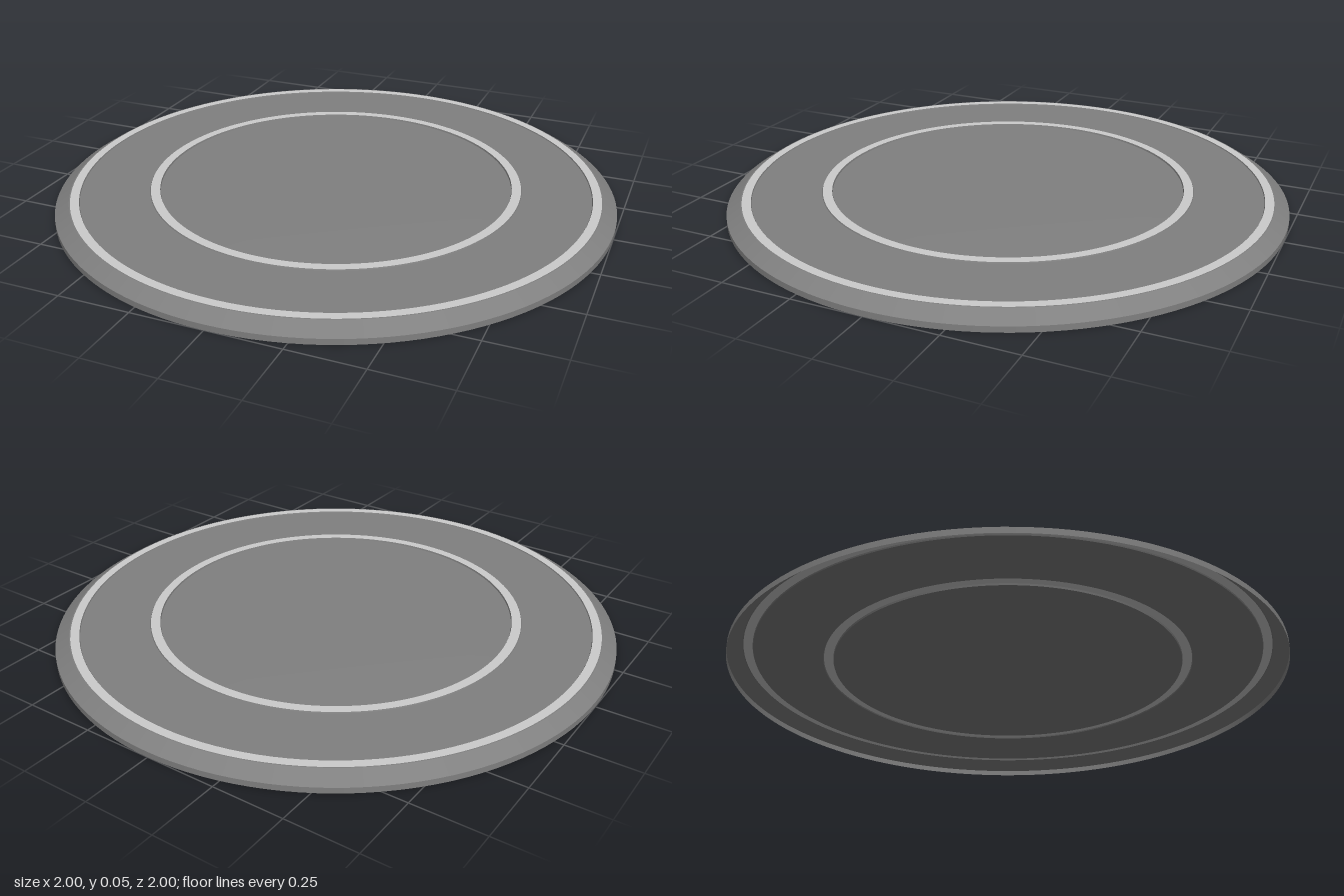
import * as THREE from 'three';

const SEGMENTS = 128;

// A thin turned sheet; each span between points is its own lathe so creases stay sharp.
function turned(name, points, material) {
  const part = new THREE.Group();
  part.name = name;
  for (let i = 0; i < points.length - 1; i++) {
    const span = [points[i], points[i + 1]].map(([r, y]) => new THREE.Vector2(r, y));
    part.add(new THREE.Mesh(new THREE.LatheGeometry(span, SEGMENTS), material));
  }
  return part;
}

export function createModel() {
  const model = new THREE.Group();
  model.name = 'roundCover';
  const dark = new THREE.MeshStandardMaterial({ color: 0x808080, side: THREE.DoubleSide });
  const light = new THREE.MeshStandardMaterial({ color: 0xcccccc, side: THREE.DoubleSide });

  // Upright lip and bevelled shoulder; the underside stays hollow
  model.add(turned('rim', [[1, 0], [1, 0.02], [0.95, 0.052], [0.946, 0.052]], dark));

  // Flat trim bands standing slightly proud of the panels
  model.add(turned('outerRing', [[0.946, 0.052], [0.915, 0.052]], light));
  model.add(turned('innerRing', [[0.667, 0.052], [0.634, 0.052]], light));

  // Flat annular panel with small steps up to the bands
  model.add(turned('annularPanel',
    [[0.915, 0.052], [0.913, 0.048], [0.669, 0.048], [0.667, 0.052]], dark));

  // Shallow domed centre
  const edge = 0.632, profile = [];
  for (let i = 0; i <= 8; i++) {
    const t = 1 - i / 8;
    profile.push(new THREE.Vector2(edge * t, 0.052 - 0.006 * t * t));
  }
  const dome = new THREE.Mesh(new THREE.LatheGeometry(profile, SEGMENTS), dark);
  dome.name = 'centrePanel';
  model.add(dome);
  model.add(turned('centreStep', [[0.634, 0.052], [edge, 0.046]], dark));

  return model;
}
